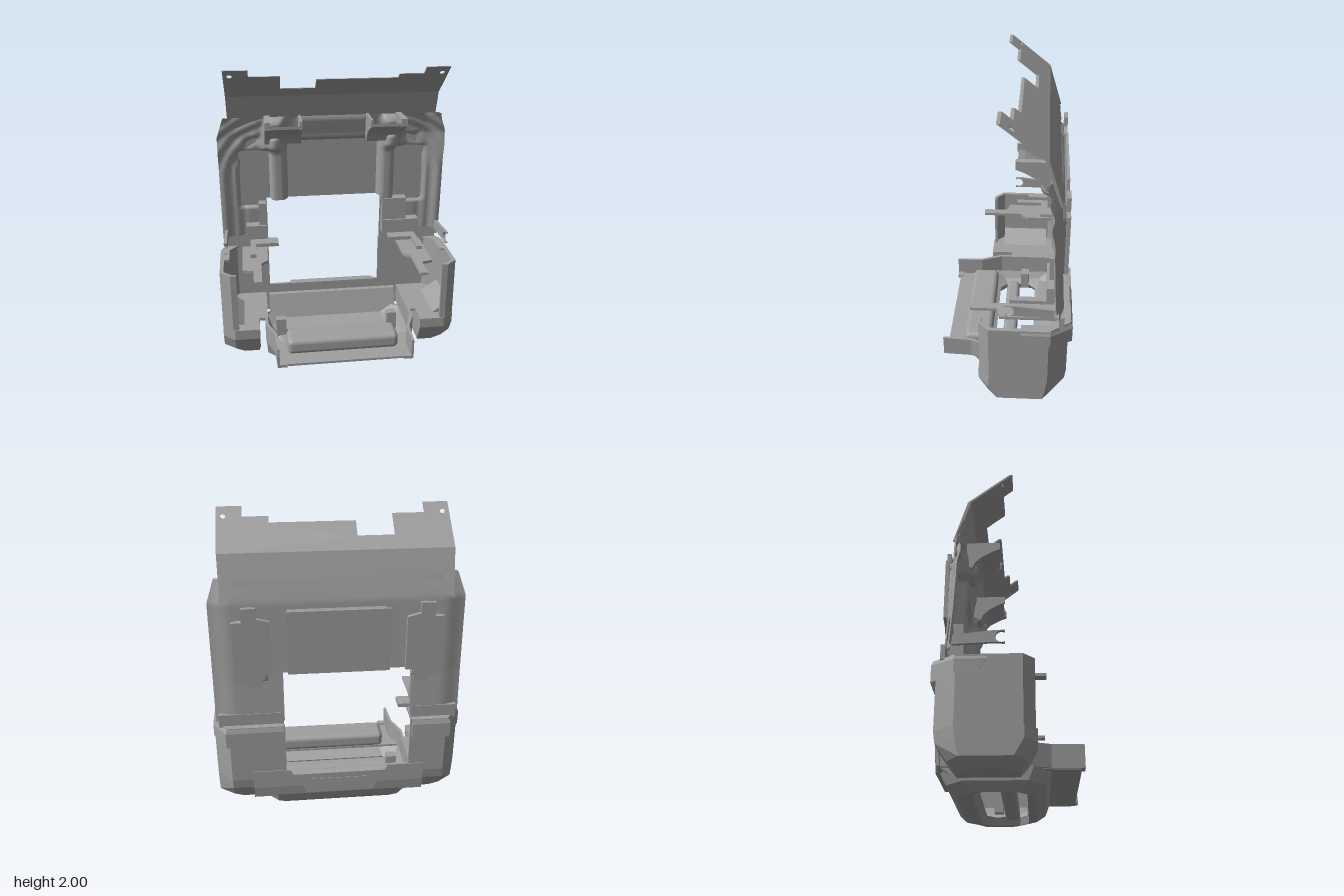
import * as THREE from 'three';
import { RoundedBoxGeometry } from 'three/addons/geometries/RoundedBoxGeometry.js';

export function createModel() {
  const root = new THREE.Group();
  const grey = new THREE.MeshStandardMaterial({ color: 0xa0a0a0, side: THREE.DoubleSide });
  grey.name = 'grey plastic';

  const add = (name, geo) => {
    const mesh = new THREE.Mesh(geo, grey);
    mesh.name = name;
    root.add(mesh);
  };
  const box = (name, x0, x1, y0, y1, z0, z1) =>
    add(name, new THREE.BoxGeometry(Math.abs(x1 - x0), y1 - y0, z1 - z0)
      .translate((x0 + x1) / 2, (y0 + y1) / 2, (z0 + z1) / 2));
  const shapeOf = (pts) => new THREE.Shape(pts.map((p) => new THREE.Vector2(p[0], p[1])));
  const extrude = (shape, depth) =>
    new THREE.ExtrudeGeometry(shape, { depth, bevelEnabled: false, curveSegments: 12 });
  // Outline in x, z raised from y0 to y1
  const plan = (name, pts, y0, y1) =>
    add(name, extrude(shapeOf(pts.map(([x, z]) => [x, -z])), y1 - y0).rotateX(-Math.PI / 2).translate(0, y0, 0));
  // Outline in z, y spread from x0 to x1
  const side = (name, pts, x0, x1) =>
    add(name, extrude(shapeOf(pts.map(([z, y]) => [-z, y])), Math.abs(x1 - x0))
      .rotateY(Math.PI / 2).translate(Math.min(x0, x1), 0, 0));
  // Skin through rings of [x, y, z], with optional end caps
  const loft = (name, rings, caps = true) => {
    const p = [], n = rings[0].length;
    for (let r = 0; r < rings.length - 1; r++)
      for (let i = 0; i < n; i++) {
        const j = (i + 1) % n, a = rings[r][i], b = rings[r][j], c = rings[r + 1][j], d = rings[r + 1][i];
        p.push(...a, ...b, ...c, ...a, ...c, ...d);
      }
    if (caps) for (const [ring, flip] of [[rings[0], 1], [rings.at(-1), 0]])
      for (let i = 1; i < n - 1; i++)
        p.push(...ring[0], ...ring[flip ? i + 1 : i], ...ring[flip ? i : i + 1]);
    const g = new THREE.BufferGeometry();
    g.setAttribute('position', new THREE.Float32BufferAttribute(p, 3));
    g.computeVertexNormals();
    add(name, g);
  };
  const bend = (geo, rule) => {
    const p = geo.attributes.position;
    for (let i = 0; i < p.count; i++) p.setZ(i, p.getZ(i) + rule(p.getX(i), p.getY(i)));
    geo.computeVertexNormals();
    return geo;
  };

  // Tilted visor plate with notches and screw holes
  const visor = shapeOf([[-0.715, 1.79], [0.715, 1.79], [0.715, 2], [0.56, 2], [0.56, 1.95], [0.4, 1.95],
    [0.4, 1.92], [-0.13, 1.92], [-0.13, 1.85], [-0.36, 1.85], [-0.36, 1.95], [-0.56, 1.95], [-0.56, 2], [-0.715, 2]]);
  for (const s of [1, -1]) {
    const hole = new THREE.Path();
    hole.absellipse(s * 0.675, 1.955, 0.017, 0.012, 0, Math.PI * 2, true);
    visor.holes.push(hole);
  }
  add('visorPlate', bend(extrude(visor, 0.02), (x, y) => -0.24 + (y - 1.79) * 1.24));
  const skirt = shapeOf([[-0.71, 1.5], [-0.5, 1.6], [0.5, 1.6], [0.71, 1.5], [0.715, 1.79], [-0.715, 1.79]]);
  add('visorSkirt', bend(extrude(skirt, 0.02), (x, y) => -0.24 - (1.79 - y) * 0.3));

  // Pressed back panel: pockets, posts, ribs and a window
  const ramp = (v, a, b) => THREE.MathUtils.smoothstep(v, a, b);
  const pad = (x, y, x0, x1, y0, y1, e = 0.02) =>
    ramp(x, x0 - e, x0) * (1 - ramp(x, x1, x1 + e)) * ramp(y, y0 - e, y0) * (1 - ramp(y, y1, y1 + e));
  const baseZ = (x, y) => {
    const flare = 0.03 * ramp(Math.abs(x), 0.66, 0.8);
    if (y > 1.5) return flare - 0.3 + (y - 1.5) * 0.25;
    return flare + (y > 1 ? -0.32 + (y - 1) * 0.04 : -0.34 + (y - 0.7) * 0.067);
  };
  const panelZ = (x, y) => {
    const a = Math.abs(x);
    let z = baseZ(x, y);
    z -= 0.04 * pad(a, y, -1, 0.31, 0.9, 1.45);
    z -= 0.045 * pad(a, y, 0.45, 0.64, 1.0, 1.38);
    z -= 0.02 * pad(a, y, 0.52, 0.6, 1.38, 1.48);
    z += 0.045 * pad(a, y, 0.345, 0.42, 1.0, 1.5, 0.03);
    z += 0.06 * pad(a, y, 0.38, 0.46, 1.43, 1.6, 0.04);
    z += 0.012 * pad(a, y, -1, 0.24, 1.48, 1.62);
    // Curved ridges that follow the outer corner
    const r = Math.hypot(Math.max(0, a - 0.4), Math.max(0, y - 1.2) * 1.05);
    if (a > 0.62 || y > 1.38) z += 0.008 * Math.sin(r * 75) * ramp(a, 0.46, 0.56);
    // Horizontal grooves in the centre pocket
    for (const gy of [1.12, 1.22, 1.32, 1.42]) if (a < 0.3 && Math.abs(y - gy) < 0.011) z += 0.008;
    return z;
  };
  const sheet = (name, rule, rimBottom) => {
    const nx = 79, ny = 47, verts = [], faces = [];
    for (let j = 0; j <= ny; j++)
      for (let i = 0; i <= nx; i++) {
        const x = -0.79 + i * 0.02, y = 0.7 + j * 0.02;
        verts.push(x * (1 - Math.max(0, y - 1.5) * 0.42), y, rule(x, y));
      }
    for (let j = 0; j < ny; j++)
      for (let i = 0; i < nx; i++) {
        const x = -0.78 + i * 0.02, y = 0.71 + j * 0.02;
        const inWindow = x > -0.47 && x < 0.35 && y < 1.04;
        if (inWindow || (Math.abs(x) > 0.64 && y < rimBottom)) continue;
        const a = j * (nx + 1) + i, d = a + nx + 1;
        faces.push(a, a + 1, d + 1, a, d + 1, d);
      }
    const g = new THREE.BufferGeometry();
    g.setAttribute('position', new THREE.Float32BufferAttribute(verts, 3));
    g.setIndex(faces);
    g.computeVertexNormals();
    add(name, g);
  };
  sheet('backPanel', panelZ, 0.76);
  sheet('backPanelSkin', (x, y) => baseZ(x, y) - 0.022, 0);

  // Lower tray: octagonal pan with an opening in its floor
  const oct = (hx, zb, zf, y, c = 0.1) => [[-hx + c, y, zf], [hx - c, y, zf], [hx, y, zf - c], [hx, y, zb + c],
    [hx - c, y, zb], [-hx + c, y, zb], [-hx, y, zb + c], [-hx, y, zf - c]];
  loft('trayPan', [oct(0.515, -0.39, 0.25, 0.13), oct(0.51, -0.35, 0.22, 0.05), oct(0.46, -0.3, 0.16, 0),
    oct(0.45, -0.2, 0.11, 0, 0.06), oct(0.43, -0.17, 0.1, 0.05, 0.05), oct(0.47, -0.3, 0.17, 0.08),
    oct(0.5, -0.37, 0.235, 0.13)], false);
  add('crossBar', new RoundedBoxGeometry(0.86, 0.07, 0.1, 3, 0.033).translate(0, 0.06, 0));
  add('stepPad', new RoundedBoxGeometry(0.76, 0.11, 0.19, 3, 0.035).translate(0, 0.185, 0.21));
  plan('stepFloor', [[-0.49, 0.12], [0.49, 0.12], [0.45, 0.27], [0.45, 0.42], [-0.45, 0.42], [-0.45, 0.27]], 0.125, 0.14);
  side('trayBackWall', [[-0.37, 0.12], [-0.385, 0.12], [-0.395, 0.2], [-0.395, 0.33], [-0.375, 0.33], [-0.375, 0.2]], -0.57, 0.57);
  side('trayBackSlope', [[-0.3, 0.08], [-0.37, 0.13], [-0.385, 0.27], [-0.36, 0.25]], -0.48, 0.48);
  const lip = [[-0.24, 0.18], [0.24, 0.18], [0.33, 0.33], [-0.33, 0.33]];
  loft('rearLip', [lip.map(([x, y]) => [x, y, -0.39]), lip.map(([x, y]) => [x * 0.92, y - 0.005, -0.44])]);
  box('rearLipSlot', -0.2, 0.2, 0.27, 0.285, -0.443, -0.436);

  for (const s of [1, -1]) {
    const m = (pts) => pts.map(([x, z]) => [s * x, z]);
    const edge = s > 0 ? 0.35 : 0.47; // window edge on this side

    plan('traySideWall', m([[0.52, -0.38], [0.52, 0.11], [0.465, 0.25], [0.455, 0.44], [0.44, 0.44], [0.445, 0.25],
      [0.5, 0.1], [0.5, -0.38]]), 0.13, 0.27);
    box('stepEndTab', s * 0.39, s * 0.45, 0.13, 0.15, 0.4, 0.44);
    box('trayClip', s * 0.37, s * 0.44, 0.07, 0.2, -0.12, -0.06);

    // Corner box: solid foot, thin wall above
    const foot = (y, x0, x1, zb, zf, c) => [[x0, zf], [x1 - 0.08, zf], [x1, zf - 0.07], [x1, zb + c], [x1 - 0.1, zb],
      [x0, zb]].map(([x, z]) => [s * x, y, z]);
    loft('cornerFoot', [foot(0.05, 0.57, 0.75, -0.27, 0.08, 0.07), foot(0.1, 0.56, 0.81, -0.31, 0.12, 0.07),
      foot(0.2, 0.56, 0.81, -0.38, 0.175, 0.12), foot(0.27, 0.56, 0.81, -0.39, 0.175, 0.12)]);
    plan('cornerWall', m([[0.7, 0.165], [0.74, 0.165], [0.81, 0.1], [0.81, -0.27], [0.71, -0.39], [edge, -0.39],
      [edge, -0.37], [0.7, -0.37], [0.785, -0.26], [0.785, 0.09], [0.73, 0.145], [0.7, 0.145]]), 0.27, 0.68);
    plan('cornerLedge', m([[0.5, -0.38], [0.6, -0.38], [0.6, 0.02], [0.5, 0.02]]), 0.25, 0.27);
    add('innerBevel', extrude(shapeOf(m([[0.66, 0.265], [0.79, 0.265], [0.79, 0.36]])), 0.34).translate(0, 0, -0.25));

    // Collar over the rear corner
    const collar = (y, o) => [[0.8 + o, -0.1], [0.8 + o, -0.28], [0.715 + o, -0.4 - o], [edge + 0.01, -0.4 - o],
      [edge + 0.01, -0.38], [0.7, -0.38], [0.79, -0.27], [0.79, -0.1]].map(([x, z]) => [s * x, y, z]);
    const low = collar(0.545, 0.016);
    low[0] = [s * 0.816, 0.585, -0.14];
    low[7] = [s * 0.79, 0.585, -0.14];
    low[1][1] = low[6][1] = 0.565;
    loft('rearCollar', [low, collar(0.65, 0.016), collar(0.68, 0.006)], false);
    plan('collarTop', m([[0.8, -0.1], [0.8, -0.28], [0.715, -0.4], [edge + 0.01, -0.4], [edge + 0.01, -0.34],
      [0.68, -0.34], [0.75, -0.26], [0.75, -0.1]]), 0.667, 0.68);

    // Horizontal brackets inside the corner
    plan('shelfBracket', m([[0.48, -0.36], [0.66, -0.36], [0.66, 0.04], [0.585, 0.06], [0.585, 0.23], [0.53, 0.23],
      [0.53, -0.05], [0.48, -0.1]]), 0.64, 0.66);
    box('slideRail', s * 0.4, s * 0.6, 0.72, 0.745, -0.3, -0.2);
    box('slideTongue', s * 0.56, s * 0.6, 0.72, 0.745, -0.22, -0.02);
    // Arm with a hooked end
    const arm = new THREE.Shape();
    arm.moveTo(0.3, 0.76).lineTo(0.06, 0.77).lineTo(0.0, 0.765).lineTo(0.0, 0.775);
    arm.absarc(0.02, 0.805, 0.036, -2.1, 2.1, false);
    arm.lineTo(0.0, 0.845).lineTo(0.06, 0.845).lineTo(0.3, 0.82);
    add('hookArm', extrude(arm, 0.02).rotateY(Math.PI / 2).translate(s * 0.765 - 0.01, 0, 0));

    // Stepped blocks beside the window
    box('windowBlock', s * (edge + 0.005), s * 0.53, 0.86, 1.02, -0.34, -0.265);
    box('windowBlockLow', s * (edge + 0.005), s * 0.62, 0.76, 0.86, -0.35, -0.25);
    box('windowStrip', s * (edge + 0.005), s * 0.77, 0.67, 0.76, -0.362, -0.335);

    // Upper hanger: two fins joined by a curved underside
    const fin = [[-0.05, 1.65], [-0.05, 1.6], [-0.1, 1.58], [-0.17, 1.54], [-0.21, 1.5], [-0.23, 1.46], [-0.28, 1.48], [-0.27, 1.65]];
    side('hangerFin', fin, s * 0.225, s * 0.24);
    side('hangerFin', fin, s * 0.43, s * 0.47);
    side('hangerScoop', [[-0.06, 1.62], [-0.06, 1.6], [-0.1, 1.58], [-0.17, 1.54], [-0.21, 1.5], [-0.23, 1.46],
      [-0.26, 1.46], [-0.225, 1.52], [-0.18, 1.56], [-0.1, 1.605]], s * 0.235, s * 0.435);

    // Raised pads on the rear of the panel
    const sidePad = [[0.42, 1.04], [0.475, 1.04], [0.475, 0.96], [0.54, 0.95], [0.57, 0.98], [0.65, 1.0], [0.65, 1.4],
      [0.59, 1.4], [0.59, 1.49], [0.5, 1.49], [0.5, 1.42], [0.42, 1.4]];
    add('rearSidePad', extrude(shapeOf(m(sidePad)), 0.025).translate(0, 0, -0.373));
  }
  // Raised centre pad on the rear
  box('rearCentrePad', -0.32, 0.32, 1.04, 1.46, -0.372, -0.355);
  return root;
}
